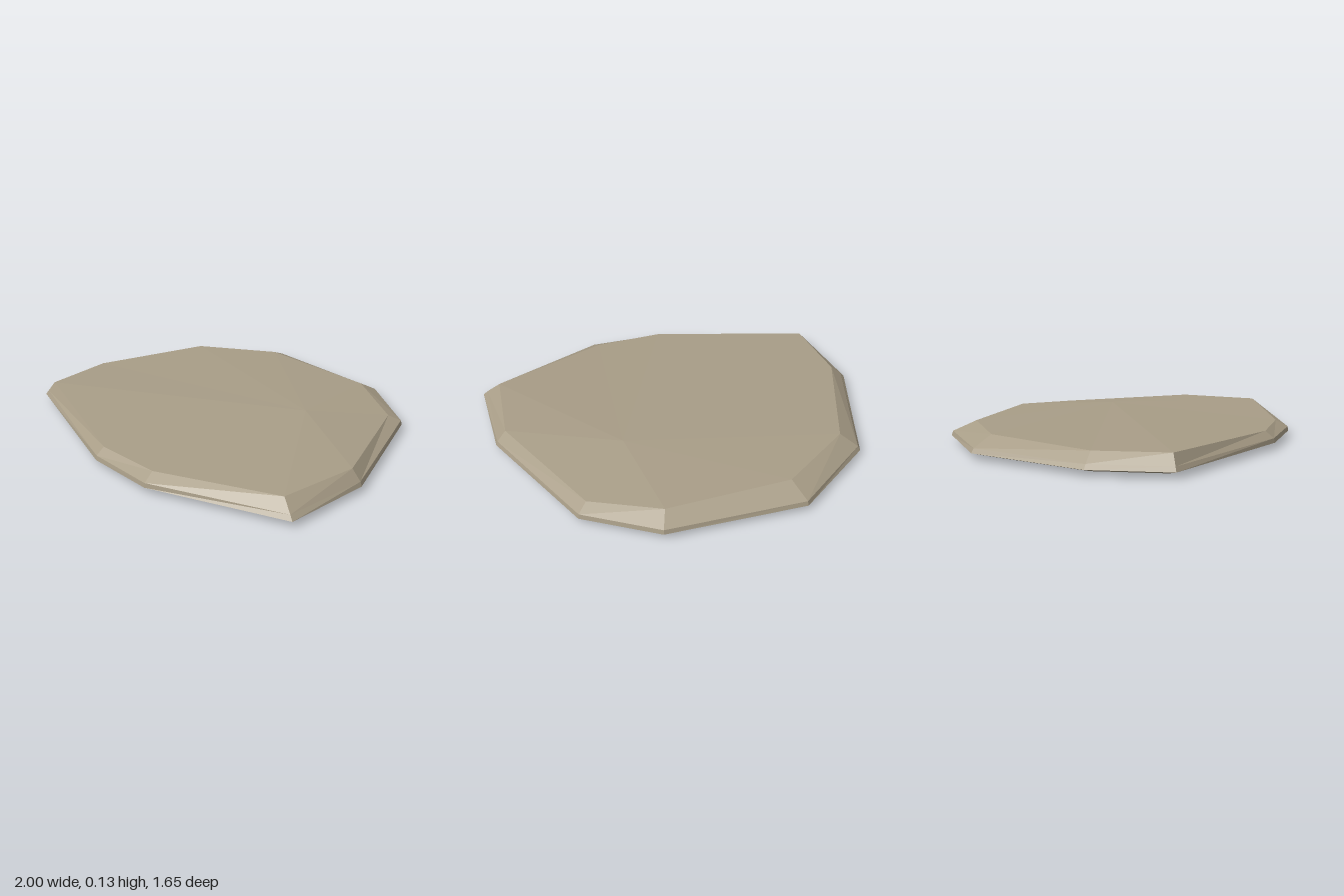
import * as THREE from 'three';

// Perimeter corners, clockwise from above: widest x, z; top rim x, y, z; inset share of the shoulder
const CORNERS = [
  [-0.43, -0.81, -0.38, 0.11, -0.69, 0.06],
  [0.30, -0.83, 0.27, 0.105, -0.735, 0.06],
  [0.67, -0.62, 0.62, 0.085, -0.565, 0.08],
  [0.985, 0.04, 0.93, 0.11, 0.05, 0.15],
  [1.0, 0.51, 0.91, 0.11, 0.475, 0.25],
  [0.32, 0.815, 0.30, 0.09, 0.75, 0.06],
  [-0.06, 0.825, -0.06, 0.09, 0.775, 0.1],
  [-0.91, 0.575, -0.86, 0.11, 0.545, 0.3],
  [-1.0, 0.175, -0.92, 0.105, 0.175, 0.25],
  [-0.835, -0.475, -0.74, 0.113, -0.415, 0.12],
];
const PEAK = [0.36, 0.13, -0.21];

export function createModel() {
  const group = new THREE.Group();
  group.name = 'stoneSlab';
  const stone = new THREE.MeshStandardMaterial({ color: 0xa89d87 });
  stone.name = 'warm grey stone';
  stone.flatShading = true;

  // Cross-sections from the underside up to the rim
  const base = CORNERS.map(([x, z]) => [x * 0.875, 0, z * 0.88]);
  const edge = CORNERS.map(([x, z]) => [x, 0.032, z]);
  const shoulder = CORNERS.map(([x, z, rx, , rz, t]) => [x + (rx - x) * t, 0.055, z + (rz - z) * t]);
  const rim = CORNERS.map(([, , x, y, z]) => [x, y, z]);
  const rings = [base, edge, shoulder, rim];

  // Join the rings, then close the top and underside with fans
  const positions = [];
  const face = (a, b, c) => positions.push(...a, ...b, ...c);
  CORNERS.forEach((_, i) => {
    const j = (i + 1) % CORNERS.length;
    for (let k = 0; k < rings.length - 1; k++) {
      const low = rings[k], high = rings[k + 1];
      face(low[j], low[i], high[i]);
      face(low[j], high[i], high[j]);
    }
    face(PEAK, rim[j], rim[i]);
    face([0, 0, 0], base[i], base[j]);
  });

  const geometry = new THREE.BufferGeometry();
  geometry.setAttribute('position', new THREE.Float32BufferAttribute(positions, 3));
  geometry.computeVertexNormals();
  const slab = new THREE.Mesh(geometry, stone);
  slab.name = 'slab';
  group.add(slab);
  return group;
}
